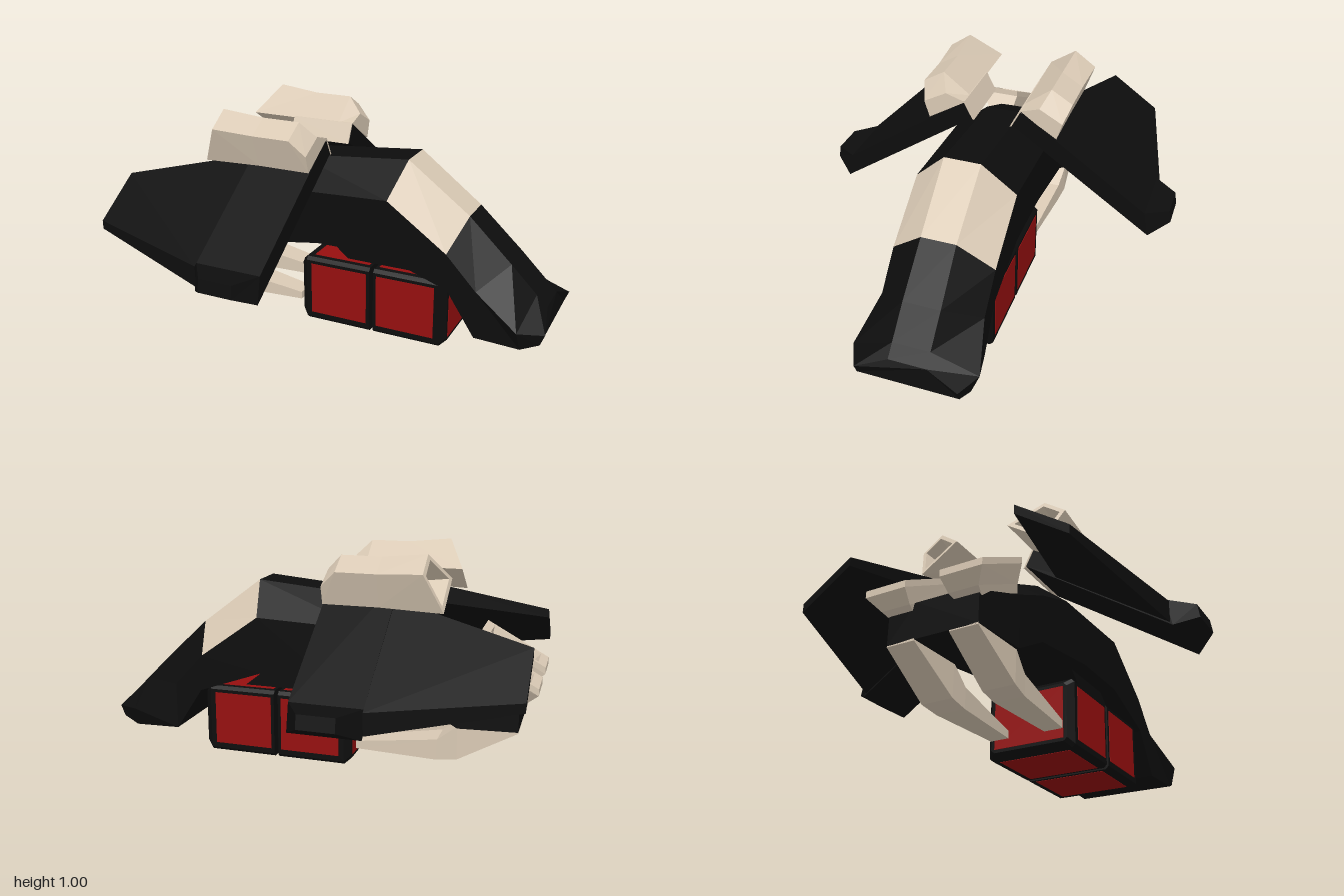
import * as THREE from 'three';

const mat = (name, hex) => {
  const m = new THREE.MeshStandardMaterial({ color: hex, flatShading: true });
  m.name = name;
  return m;
};

// Skin a list of equal-length cross-sections and cap both ends.
// matOf(station, side) picks a material index for each side face.
function loft(sections, matOf = () => 0) {
  const buckets = [[], []];
  const n = sections[0].length;
  const tri = (k, a, b, c) => buckets[k].push([a, b, c]);
  for (let s = 0; s < sections.length - 1; s++) {
    for (let i = 0; i < n; i++) {
      const j = (i + 1) % n, k = matOf(s, i);
      const [p, q] = [sections[s], sections[s + 1]];
      tri(k, p[i], p[j], q[j]);
      tri(k, p[i], q[j], q[i]);
    }
  }
  const last = sections[sections.length - 1];
  for (let i = 1; i < n - 1; i++) {
    tri(0, sections[0][0], sections[0][i + 1], sections[0][i]);
    tri(0, last[0], last[i], last[i + 1]);
  }
  // turn every face outward using the sign of the volume
  let volume = 0;
  for (const [a, b, c] of buckets.flat()) {
    volume += new THREE.Vector3(...a).dot(new THREE.Vector3(...b).cross(new THREE.Vector3(...c)));
  }
  const geo = new THREE.BufferGeometry();
  const pos = [];
  buckets.forEach((tris, k) => {
    if (tris.length) geo.addGroup(pos.length / 3, tris.length * 3, k);
    for (const [a, b, c] of tris) pos.push(...a, ...(volume < 0 ? c : b), ...(volume < 0 ? b : c));
  });
  geo.setAttribute('position', new THREE.Float32BufferAttribute(pos, 3));
  geo.computeVertexNormals();
  return geo;
}

const flip = (sections) => sections.map((s) => s.map(([x, y, z]) => [x, y, -z]));

// Shrink a section about its centre and shift it.
function inset(section, k, dx = 0, dy = 0, dz = 0) {
  const c = [0, 1, 2].map((a) => section.reduce((t, p) => t + p[a], 0) / section.length);
  const d = [dx, dy, dz];
  return section.map((p) => p.map((v, a) => c[a] + (v - c[a]) * k + d[a]));
}

export function createModel() {
  const model = new THREE.Group();
  const black = mat('black', 0x0d0d0d);
  const beige = mat('beige', 0xd9c9b4);
  const red = mat('red', 0x960f0f);

  const add = (name, geo, material, parent = model) => {
    const mesh = new THREE.Mesh(geo, material);
    mesh.name = name;
    parent.add(mesh);
    return mesh;
  };
  const pair = (name, sections, material) => {
    add(name + 'Left', loft(sections), material);
    add(name + 'Right', loft(flip(sections)), material);
  };

  // Hull: [top x,y,halfWidth], [shoulder], [bottom] at each station
  const hull = [
    [[-0.92, 0.40, 0.08], [-0.92, 0.38, 0.21], [-0.92, 0.24, 0.21]],
    [[-0.66, 0.56, 0.085], [-0.66, 0.48, 0.235], [-0.66, 0.24, 0.235]],
    [[-0.47, 0.67, 0.085], [-0.47, 0.57, 0.235], [-0.47, 0.35, 0.235]],
    [[-0.25, 0.77, 0.085], [-0.25, 0.65, 0.235], [-0.07, 0.41, 0.235]],
    [[0.31, 0.82, 0.085], [0.27, 0.67, 0.235], [0.25, 0.41, 0.235]],
    [[0.60, 0.60, 0.08], [0.55, 0.47, 0.235], [0.56, 0.30, 0.235]],
    [[0.80, 0.41, 0.085], [0.69, 0.32, 0.235], [0.69, 0.10, 0.235]],
    [[0.92, 0.29, 0.085], [0.89, 0.19, 0.285], [0.90, 0.10, 0.25]],
    [[0.97, 0.24, 0.085], [1.0, 0.18, 0.23], [0.98, 0.13, 0.23]],
  ].map(([t, s, b]) => [
    [t[0], t[1], -t[2]], [t[0], t[1], t[2]], [s[0], s[1], s[2]],
    [b[0], b[1], b[2]], [b[0], b[1], -b[2]], [s[0], s[1], -s[2]],
  ]);
  // the canopy is the beige band of upper faces between stations 4 and 5
  const isCanopy = (s, i) => (s === 4 && [0, 1, 5].includes(i) ? 1 : 0);
  add('hullWithCanopy', loft(hull, isCanopy), [black, beige]);

  // Cargo mount under the hull
  const mountRing = (x0, x1, y) => [[x0, y, -0.16], [x1, y, -0.16], [x1, y, 0.16], [x0, y, 0.16]];
  add('cargoMount', loft([mountRing(-0.08, 0.23, 0.43), mountRing(0.05, 0.36, 0.325)]), black);

  // Wings: thick forward spar with a tapered tip, and a thinner rear panel
  const sparRing = (x0, x1, [zt, yt], [zb, yb]) =>
    [[x0, yt, zt], [x1, yt, zt], [x1, yb, zb], [x0, yb, zb]];
  pair('wingSpar', [
    sparRing(-0.38, -0.07, [0.14, 0.88], [0.10, 0.80]),
    sparRing(-0.38, -0.07, [0.745, 0.46], [0.77, 0.34]),
    sparRing(-0.30, -0.14, [0.85, 0.45], [0.86, 0.39]),
  ], black);
  const panelRing = (x, z0, y0, z1, y1, h) =>
    [[x, y0 + h, z0], [x, y1 + h, z1], [x, y1 - h, z1], [x, y0 - h, z0]];
  pair('wingPanel', [
    panelRing(-0.98, 0.39, 0.645, 0.62, 0.485, 0.02),
    panelRing(-0.38, 0.25, 0.75, 0.76, 0.402, 0.048),
  ], black);

  // Beige cap on the inner end of each wing
  pair('wingRootCap', [
    sparRing(-0.38, -0.07, [0.14, 0.885], [0.095, 0.795]),
    sparRing(-0.38, -0.07, [0.132, 0.885], [0.087, 0.795]),
  ], beige);

  // Pods on the wings, with a slanted hollow rear opening
  const podRing = (xLow, xHigh, a, b, c, d) =>
    [[xLow, a[1], a[0]], [xHigh, b[1], b[0]], [xHigh, c[1], c[0]], [xLow, d[1], d[0]]];
  const A = [0.31, 0.77], B = [0.37, 0.93], C = [0.27, 1.0], D = [0.13, 0.88];
  const podRear = podRing(-0.60, -0.52, [0.31, 0.76], B, C, D);
  pair('wingPod', [
    podRing(-0.07, -0.07, A, [0.335, 0.85], [0.225, 0.91], D),
    podRing(-0.14, -0.14, A, [0.36, 0.92], [0.26, 0.98], D),
    podRing(-0.32, -0.32, A, [0.36, 0.92], [0.26, 0.98], D),
    podRear,
    inset(podRear, 0.78),
    inset(podRear, 0.6, 0.09, -0.01),
  ], beige);

  // Engine nozzles sunk into the sloping tail
  const nozzleRing = (x0, y0, x1, y1, z0, z1) =>
    [[x0, y0, z0], [x1, y1, z0], [x1, y1, z1], [x0, y0, z1]];
  const rim = nozzleRing(-1.0, 0.46, -0.71, 0.62, 0.08, 0.27);
  pair('engineNozzle', [
    nozzleRing(-0.90, 0.36, -0.64, 0.50, 0.10, 0.21),
    nozzleRing(-0.95, 0.38, -0.665, 0.53, 0.09, 0.225),
    nozzleRing(-1.0, 0.43, -0.71, 0.59, 0.08, 0.27),
    rim,
    inset(rim, 0.76),
    inset(rim, 0.62, 0.03, -0.06),
  ], beige);

  // Skids reaching forward under the tail
  pair('skid', [
    [-0.92, 0.245, 0.235, 0.08, 0.21],
    [-0.66, 0.245, 0.09, 0.07, 0.22],
    [-0.57, 0.17, 0.075, 0.07, 0.21],
    [-0.19, 0.11, 0.075, 0.09, 0.18],
  ].map(([x, top, low, z0, z1]) => [[x, top, z0], [x, top, z1], [x, low, z1], [x, low, z0]]), beige);

  // Cargo boxes: chamfered black shells with red panels, mirrored end to end
  const crateRing = (x, h, w, c) => [
    [w, h - c], [w - c, h], [c - w, h], [-w, h - c],
    [-w, c - h], [c - w, -h], [w - c, -h], [w, c - h],
  ].map(([z, y]) => [x, 0.16 + y, z]);
  for (const side of [-1, 1]) {
    const crate = new THREE.Group();
    crate.name = side < 0 ? 'rearCargoBox' : 'frontCargoBox';
    const at = (d) => 0.19 + side * d;
    add('boxShell', loft([
      crateRing(at(0.01), 0.16, 0.215, 0.015),
      crateRing(at(0.33), 0.16, 0.215, 0.015),
      crateRing(at(0.36), 0.135, 0.19, 0.015),
    ]), black, crate);
    const panel = (name, w, h, d, x, y, z) =>
      add(name, new THREE.BoxGeometry(w, h, d), red, crate).position.set(x, y, z);
    for (const s of [-1, 1]) {
      panel('sidePanel', 0.28, 0.25, 0.006, at(0.165), 0.165, s * 0.2145);
      panel('flatPanel', 0.28, 0.006, 0.35, at(0.165), 0.16 + s * 0.1585, 0);
    }
    panel('endPanel', 0.006, 0.24, 0.345, at(0.3595), 0.16, 0);
    model.add(crate);
  }

  return model;
}
